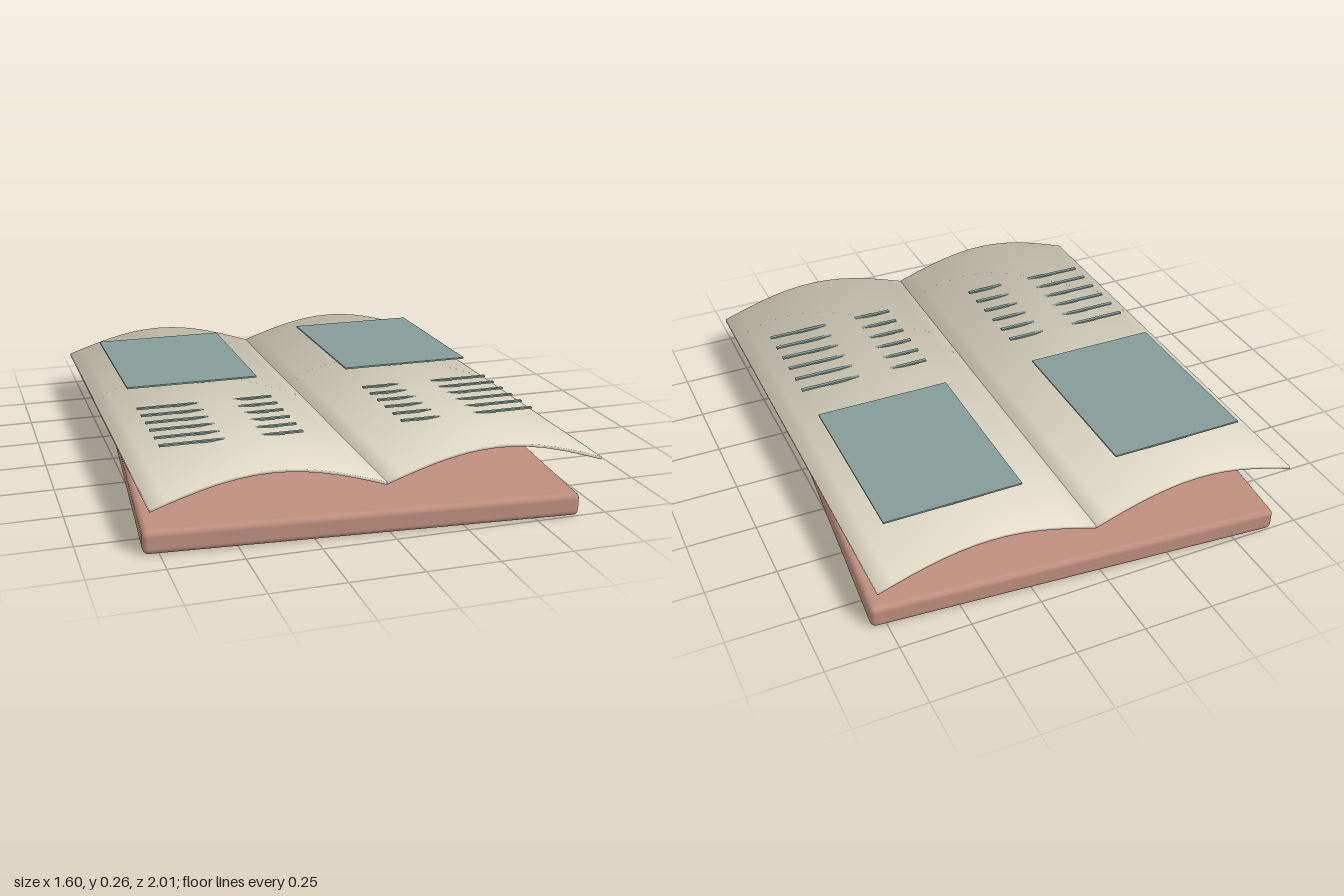
import * as THREE from 'three';
import { RoundedBoxGeometry } from 'three/addons/geometries/RoundedBoxGeometry.js';

const PAGE_W = 0.78, PAGE_L = 1.8, THICK = 0.01, ARCH = 0.085, BASE_Y = 0.155;

function mat(name, color) {
  const m = new THREE.MeshStandardMaterial({ color });
  m.name = name;
  return m;
}

// Thin sheet arched along x, with soft normals that roll over its rim
function pageGeometry(side) {
  const geo = new THREE.BoxGeometry(PAGE_W, THICK, PAGE_L, 14, 1, 1);
  const pos = geo.attributes.position, nor = geo.attributes.normal;
  const n = new THREE.Vector3(), rim = new THREE.Vector3();
  for (let i = 0; i < pos.count; i++) {
    const x = pos.getX(i), y = pos.getY(i), z = pos.getZ(i);
    const t = x / PAGE_W + 0.5;
    const slope = ARCH * Math.PI / PAGE_W * Math.cos(Math.PI * t);
    const edge = Math.abs(x) > PAGE_W / 2 - 1e-4 ? Math.sign(x) : 0;
    n.set(-slope, 1, 0).normalize().multiplyScalar(Math.sign(y));
    n.add(rim.set(edge, 0, Math.sign(z))).normalize();
    pos.setXYZ(i, x + side * PAGE_W / 2, BASE_Y + ARCH * Math.sin(Math.PI * t) + y, z);
    nor.setXYZ(i, n.x, n.y, n.z);
  }
  return geo;
}

export function createModel() {
  const group = new THREE.Group();
  group.name = 'openBook';
  const coverMat = mat('terracotta cover', 0xbe8e7d);
  const paperMat = mat('cream paper', 0xe3dcc9);
  const inkMat = mat('grey teal print', 0x839c97);

  function add(name, geometry, material, x = 0, y = 0, z = 0) {
    const mesh = new THREE.Mesh(geometry, material);
    mesh.name = name;
    mesh.position.set(x, y, z);
    group.add(mesh);
    return mesh;
  }

  // Slab under the pages, turned slightly
  const cover = add('cover', new RoundedBoxGeometry(1.46, 0.08, 1.9, 3, 0.02), coverMat, 0, 0.04, 0);
  cover.rotation.y = -0.08;

  const pictureGeo = new THREE.BoxGeometry(0.5, 0.006, 0.66);
  const lineGeo = new THREE.BoxGeometry(0.5, 0.006, 0.014);
  for (const side of [-1, 1]) {
    const label = side > 0 ? 'left' : 'right';
    add(label + 'Page', pageGeometry(side), paperMat);
    // Picture plate and rows of text that dip into the page crest
    add(label + 'Picture', pictureGeo, inkMat, side * 0.43, 0.255, -0.37);
    for (let i = 0; i < 6; i++) {
      add(label + 'TextLine' + (i + 1), lineGeo, inkMat, side * 0.43, 0.239, 0.16 + i * 0.08);
    }
  }
  return group;
}
